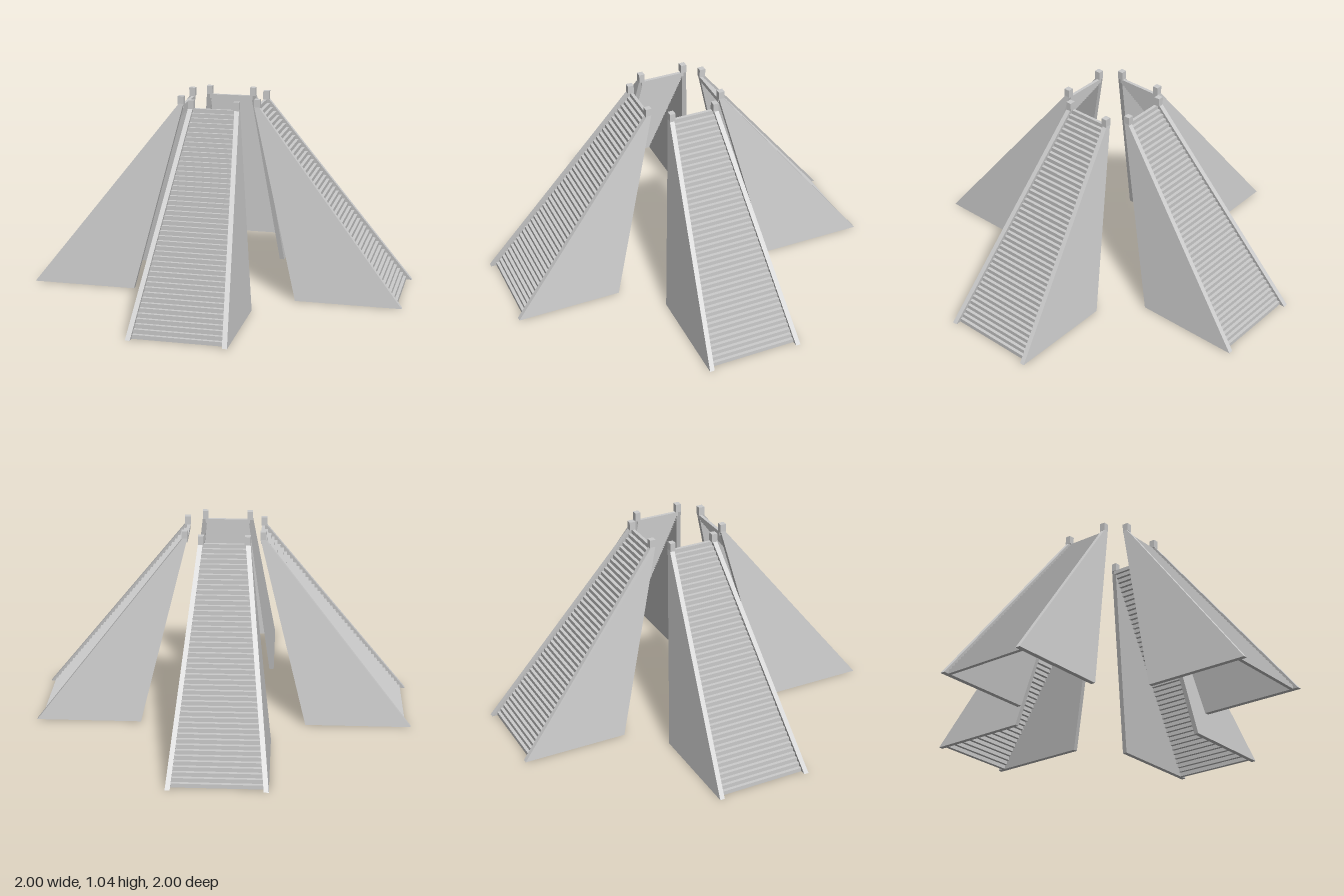
import * as THREE from 'three';

const STEPS = 46, THICK = 0.025, LEAN = 0.12, HALF = 0.255;
const material = new THREE.MeshStandardMaterial({ color: 0xcccccc, flatShading: true });

function add(parent, geometry, name) {
  const mesh = new THREE.Mesh(geometry, material);
  mesh.name = name;
  parent.add(mesh);
  return mesh;
}

// Side slab: the stair profile extruded, then leaned inwards with height
function sideWallGeometry(side) {
  const shape = new THREE.Shape([[1, 0], [0.215, 1], [0.19, 1], [0.44, 0]]
    .map(([d, y]) => new THREE.Vector2(d, y)));
  const geo = new THREE.ExtrudeGeometry(shape, { depth: THICK, bevelEnabled: false });
  geo.rotateY(-Math.PI / 2);
  geo.translate(side > 0 ? HALF : -(HALF - THICK), 0, 0);
  const p = geo.attributes.position;
  for (let i = 0; i < p.count; i++) p.setX(i, p.getX(i) - side * LEAN * p.getY(i));
  geo.computeVertexNormals();
  return geo;
}

// One stairway descending towards +z, open at the back and underneath
function createStairway() {
  const stairway = new THREE.Group();
  stairway.name = 'stairway';

  for (const side of [1, -1]) {
    const label = side > 0 ? 'left' : 'right';
    add(stairway, sideWallGeometry(side), label + 'SideWall');
    const post = add(stairway, new THREE.BoxGeometry(0.03, 0.045, 0.032), label + 'TopPost');
    post.position.set(side * 0.12, 1.0175, 0.204);
  }

  // Narrowing steps between the walls
  const steps = new THREE.Group();
  steps.name = 'steps';
  stairway.add(steps);
  const rise = 0.995 / STEPS, run = 0.78 / STEPS;
  for (let i = 0; i < STEPS; i++) {
    const y = (i + 0.5) * rise;
    const width = 2 * (HALF - THICK * 0.7 - LEAN * y);
    const depth = i < STEPS - 1 ? run * 1.15 : run;
    const step = add(steps, new THREE.BoxGeometry(width, rise, depth), 'step');
    step.position.set(0, y, 0.97 - i * run - depth / 2);
  }
  return stairway;
}

export function createModel() {
  const model = new THREE.Group();
  model.name = 'fourStairways';
  ['front', 'left', 'back', 'right'].forEach((label, k) => {
    const stairway = createStairway();
    stairway.name = label + 'Stairway';
    stairway.rotation.y = k * Math.PI / 2;
    // Each pair sits slightly off the centre line
    if (k % 2) stairway.position.z = -0.01;
    else stairway.position.x = -0.005;
    model.add(stairway);
  });
  return model;
}
